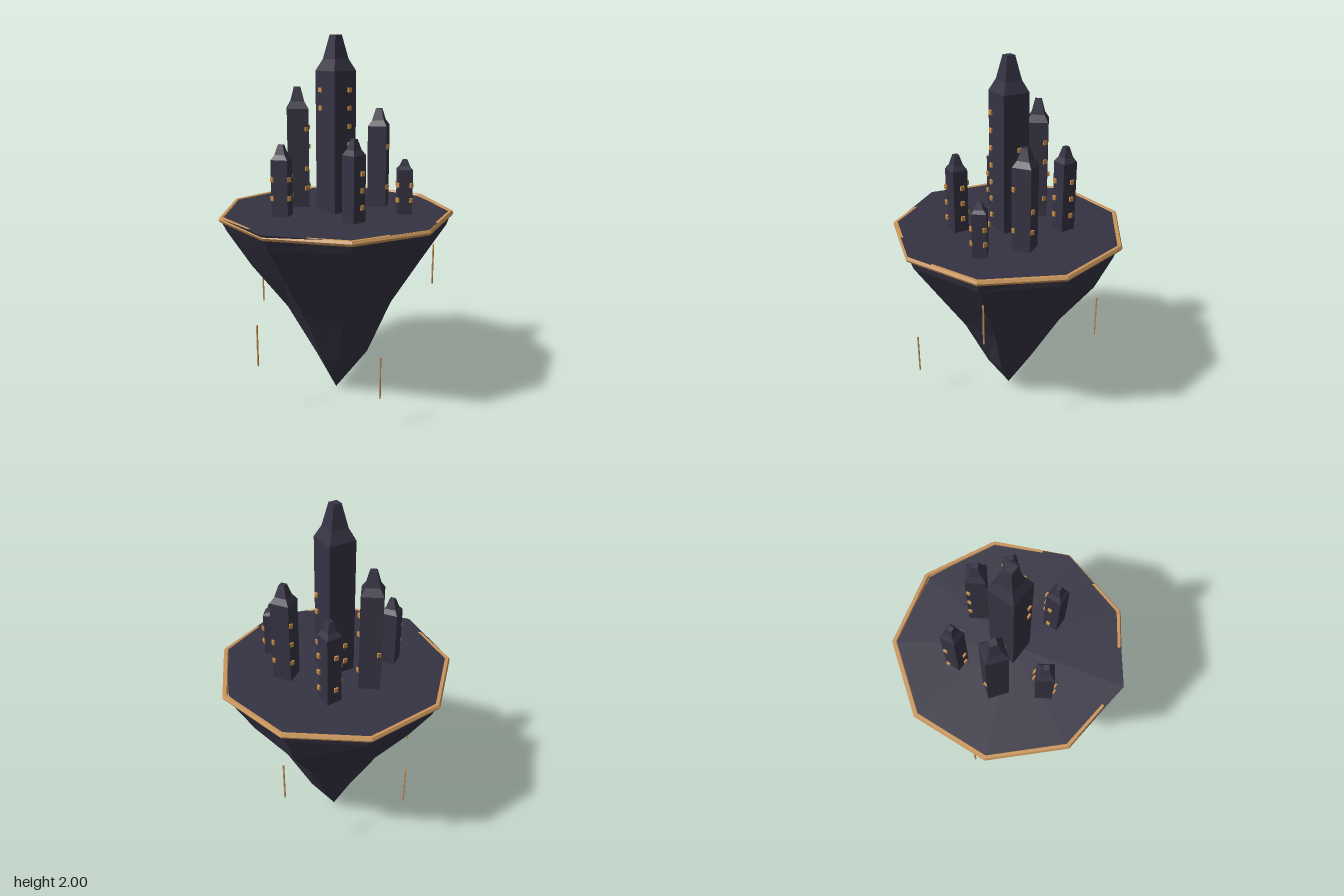
import * as THREE from 'three';

const rock = new THREE.MeshStandardMaterial({ color: 0x353343 });
rock.name = 'dark stone';
const gold = new THREE.MeshStandardMaterial({ color: 0xc8945a });
gold.name = 'gold trim';
const glow = new THREE.MeshStandardMaterial({ color: 0xc88f48 });
glow.name = 'window amber';

const CX = -0.02; // island axis
const GROUND = 1.073;

function addMesh(parent, name, geometry, material) {
  const flat = geometry.index ? geometry.toNonIndexed() : geometry;
  flat.computeVertexNormals();
  const mesh = new THREE.Mesh(flat, material);
  mesh.name = name;
  parent.add(mesh);
  return mesh;
}

// Skin rings of [x, y, z] points, listed from bottom to top
function loft(rings) {
  const n = rings[0].length;
  const index = [];
  for (let i = 0; i < rings.length - 1; i++) {
    for (let k = 0; k < n; k++) {
      const a = i * n + k, b = i * n + (k + 1) % n;
      index.push(a, a + n, b, b, a + n, b + n);
    }
  }
  const g = new THREE.BufferGeometry();
  g.setAttribute('position', new THREE.Float32BufferAttribute(rings.flat(2), 3));
  g.setIndex(index);
  return g;
}

function ring(n, y, radius, turn = 0) {
  return Array.from({ length: n }, (_, k) => {
    const a = turn + (k / n) * Math.PI * 2;
    const r = Array.isArray(radius) ? radius[k] : radius;
    const h = Array.isArray(y) ? y[k] : y;
    return [r * Math.cos(a), h, r * Math.sin(a)];
  });
}

// Nine-sided floating rock, slightly irregular
function island() {
  const topR = [0.63, 0.63, 0.63, 0.645, 0.636, 0.63, 0.625, 0.62, 0.605];
  const topY = [1.073, 1.082, 1.076, 1.082, 1.073, 1.074, 1.073, 1.073, 1.07];
  return loft([
    ring(9, 0.005, 0),
    ring(9, 0.235, [0.179, 0.15, 0.14, 0.14, 0.115, 0.115, 0.14, 0.14, 0.15]),
    ring(9, 0.54, [0.31, 0.3, 0.29, 0.3, 0.28, 0.285, 0.3, 0.312, 0.3]),
    ring(9, 0.8, [0.475, 0.47, 0.45, 0.47, 0.475, 0.475, 0.48, 0.503, 0.48]),
    ring(9, 1.0, [0.605, 0.6, 0.595, 0.6, 0.6, 0.6, 0.6, 0.595, 0.59]),
    ring(9, topY, topR),
    ring(9, GROUND, 0),
  ]);
}

// Square tower with a stepped, blunt spire; windows hover off its diagonals
function tower({ x, z, r, eave, top, turn, gap, windows }) {
  const group = new THREE.Group();
  group.name = 'tower';
  group.position.set(x, 0, z);
  const a = THREE.MathUtils.degToRad(turn);
  const shoulder = eave + (top - eave) * 0.33;
  addMesh(group, 'towerBody', loft([
    ring(4, GROUND - 0.02, r, a), ring(4, eave, r, a), ring(4, eave, 0, a),
  ]), rock);
  addMesh(group, 'spire', loft([
    ring(4, eave, r, a), ring(4, shoulder, r * 0.63, a),
    ring(4, top, r * 0.3, a), ring(4, top, 0, a),
  ]), rock);
  const sides = [[1, 1], [-1, 1], [-1, -1], [1, -1]];
  windows.forEach((mask, s) => {
    [...mask].forEach((lit, row) => {
      if (lit !== '1') return;
      const w = addMesh(group, 'window', new THREE.BoxGeometry(0.021, 0.024, 0.009), glow);
      const [sx, sz] = sides[s];
      const y = GROUND + (eave - GROUND) * (row + 1) / (mask.length + 1);
      w.position.set(sx * gap, y, sz * gap);
      w.rotation.y = Math.atan2(sx, sz);
    });
  });
  return group;
}

// Window masks: one per diagonal (+x+z, -x+z, -x-z, +x-z), lowest row first
const TOWERS = [
  { x: CX, z: 0, r: 0.106, eave: 1.82, top: 2, turn: 0, gap: 0.076,
    windows: ['1111111', '0000011', '1100000', '0101100'] },
  { x: -0.236, z: -0.109, r: 0.081, eave: 1.615, top: 1.73, turn: 36, gap: 0.053,
    windows: ['1101', '0000', '0100', '1011'] },
  { x: 0.209, z: -0.139, r: 0.073, eave: 1.52, top: 1.612, turn: 55, gap: 0.049,
    windows: ['101', '000', '111', '110'] },
  { x: -0.067, z: -0.293, r: 0.06, eave: 1.455, top: 1.537, turn: -3, gap: 0.045,
    windows: ['111', '110', '101', '111'] },
  { x: 0.349, z: 0.058, r: 0.053, eave: 1.315, top: 1.366, turn: 37, gap: 0.036,
    windows: ['11', '11', '01', '11'] },
  { x: 0.086, z: 0.257, r: 0.06, eave: 1.42, top: 1.5, turn: -2, gap: 0.045,
    windows: ['111', '000', '101', '111'] },
  { x: -0.297, z: 0.135, r: 0.063, eave: 1.375, top: 1.45, turn: 55, gap: 0.045,
    windows: ['11', '11', '00', '11'] },
];

export function createModel() {
  const model = new THREE.Group();
  model.name = 'floatingCity';

  addMesh(model, 'islandRock', island(), rock).position.x = CX;

  // Gold band around the plateau
  const rim = new THREE.TorusGeometry(0.625, 0.016, 6, 9).rotateX(Math.PI / 2);
  addMesh(model, 'goldRim', rim, gold).position.set(CX, 1.065, 0);

  TOWERS.forEach((t) => model.add(tower(t)));

  // Thin rods descending in a spiral around the rock
  for (let i = 0; i < 5; i++) {
    const a = -1.3 * i;
    const rod = addMesh(model, 'hangingRod', new THREE.CylinderGeometry(0.005, 0.005, 0.23, 5), gold);
    rod.position.set(CX + 0.538 * Math.cos(a), 0.77 - 0.115 * i, 0.538 * Math.sin(a));
    rod.rotation.y = -a;
  }
  return model;
}
